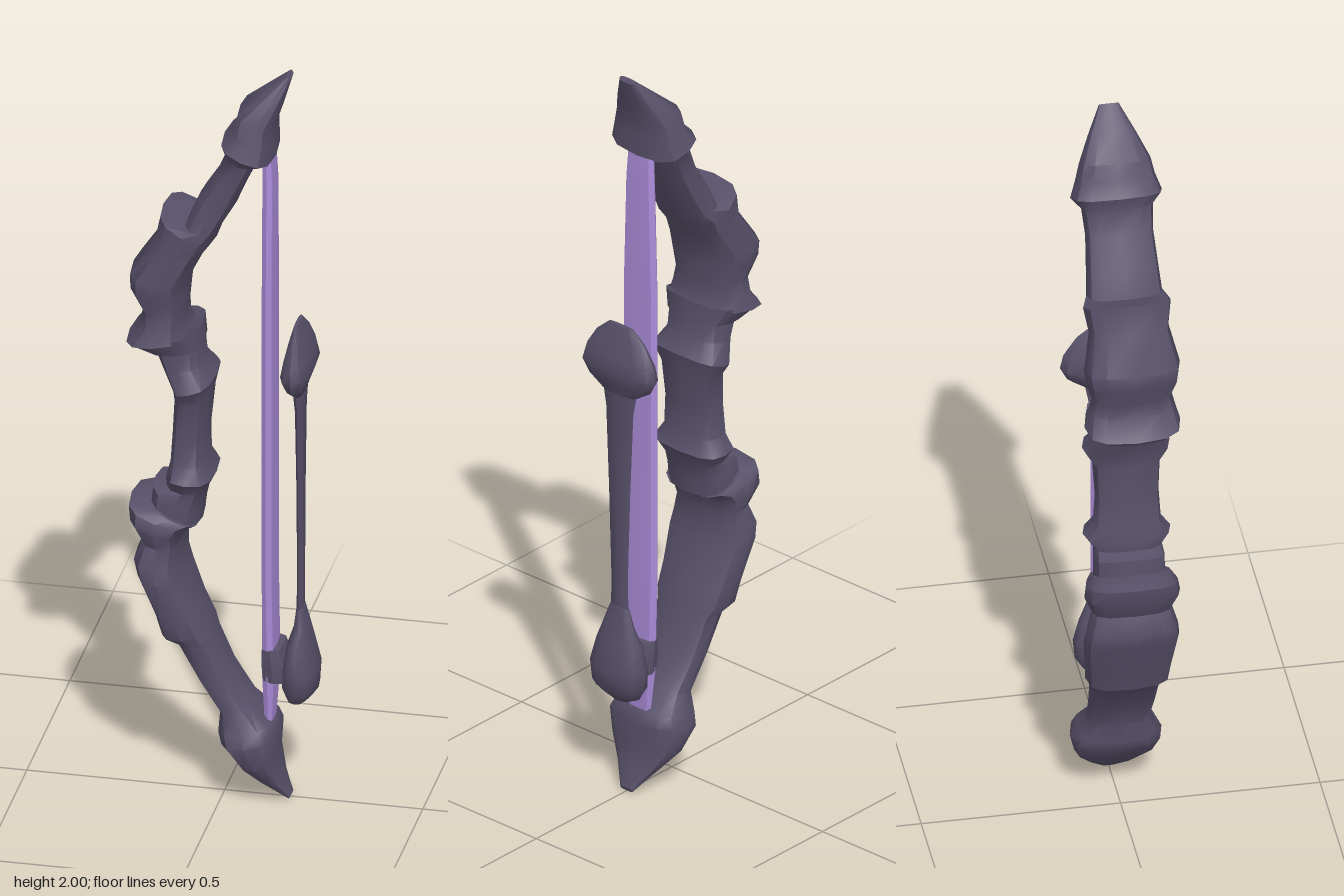
import * as THREE from 'three';
import { toCreasedNormals } from 'three/addons/utils/BufferGeometryUtils.js';

const stone = new THREE.MeshStandardMaterial({ color: 0x575069 });
stone.name = 'dark stone';
const violet = new THREE.MeshStandardMaterial({ color: 0xaa8bd8 });
violet.name = 'violet string';

// Lofts rounded-box sections, listed from top to bottom.
// Each row: left x, left y, right x, right y, half depth in z.
function loft(rows, sides, power, crease) {
  const pos = [], index = [];
  const soft = (v) => Math.sign(v) * Math.pow(Math.abs(v), power);
  rows.forEach(([xl, yl, xr, yr, hz]) => {
    for (let j = 0; j < sides; j++) {
      const a = (j / sides) * Math.PI * 2;
      const u = soft(Math.cos(a)) / 2;
      pos.push((xl + xr) / 2 + u * (xr - xl), (yl + yr) / 2 + u * (yr - yl), hz * soft(Math.sin(a)));
    }
  });
  for (let i = 0; i < rows.length - 1; i++) {
    for (let j = 0; j < sides; j++) {
      const k = (j + 1) % sides;
      const a = i * sides + j, b = i * sides + k;
      index.push(a, b, b + sides, a, b + sides, a + sides);
    }
  }
  const last = (rows.length - 1) * sides;
  for (let j = 1; j < sides - 1; j++) {
    index.push(0, j + 1, j, last, last + j, last + j + 1);
  }
  const g = new THREE.BufferGeometry();
  g.setAttribute('position', new THREE.Float32BufferAttribute(pos, 3));
  g.setIndex(index);
  return toCreasedNormals(g, crease);
}

function part(name, rows, material, sides = 12, power = 0.7, crease = 0.7) {
  const mesh = new THREE.Mesh(loft(rows, sides, power, crease), material);
  mesh.name = name;
  return mesh;
}

// Upper limb, from the tip down to its lowest barb
const upperLimb = [
  [0.16, 2.0, 0.17, 1.99, 0.025],
  [0.10, 1.95, 0.15, 1.92, 0.06],
  [0.04, 1.90, 0.13, 1.86, 0.09],
  [0.03, 1.85, 0.13, 1.82, 0.10],
  [0.0, 1.82, 0.13, 1.77, 0.115],
  [0.01, 1.78, 0.09, 1.76, 0.09],
  [-0.015, 1.72, 0.06, 1.70, 0.085],
  [-0.06, 1.65, 0.03, 1.63, 0.09],
  [-0.09, 1.58, -0.005, 1.57, 0.095],
  [-0.155, 1.605, -0.02, 1.53, 0.11],
  [-0.17, 1.53, -0.05, 1.49, 0.10],
  [-0.23, 1.44, -0.085, 1.42, 0.12],
  [-0.23, 1.40, -0.09, 1.38, 0.115],
  [-0.20, 1.34, -0.095, 1.33, 0.10],
  [-0.20, 1.30, -0.095, 1.29, 0.11],
  [-0.24, 1.25, -0.085, 1.27, 0.12],
  [-0.235, 1.24, -0.055, 1.29, 0.11],
  [-0.18, 1.22, -0.05, 1.24, 0.09],
];

// Grip with a flared collar at each end
const grip = [
  [-0.17, 1.23, -0.055, 1.25, 0.085],
  [-0.15, 1.18, -0.05, 1.19, 0.085],
  [-0.12, 1.12, -0.02, 1.15, 0.11],
  [-0.12, 1.09, -0.03, 1.10, 0.085],
  [-0.125, 1.0, -0.04, 1.0, 0.08],
  [-0.13, 0.92, -0.04, 0.92, 0.085],
  [-0.14, 0.885, -0.02, 0.88, 0.11],
  [-0.14, 0.855, -0.04, 0.84, 0.085],
  [-0.175, 0.85, -0.05, 0.79, 0.09],
  [-0.18, 0.80, -0.055, 0.75, 0.09],
];

// Lower limb, from its barb down to the tip
const lowerLimb = [
  [-0.18, 0.81, -0.055, 0.75, 0.10],
  [-0.235, 0.80, -0.07, 0.745, 0.115],
  [-0.23, 0.76, -0.09, 0.73, 0.12],
  [-0.20, 0.70, -0.10, 0.69, 0.10],
  [-0.22, 0.65, -0.10, 0.64, 0.115],
  [-0.21, 0.61, -0.09, 0.60, 0.12],
  [-0.165, 0.50, -0.06, 0.52, 0.11],
  [-0.15, 0.445, -0.03, 0.46, 0.105],
  [-0.115, 0.43, -0.02, 0.43, 0.09],
  [-0.06, 0.33, 0.02, 0.34, 0.085],
  [-0.005, 0.24, 0.075, 0.26, 0.08],
  [-0.01, 0.19, 0.13, 0.215, 0.10],
  [0.0, 0.16, 0.14, 0.185, 0.115],
  [0.05, 0.10, 0.135, 0.12, 0.10],
  [0.095, 0.055, 0.15, 0.06, 0.06],
  [0.165, 0.0, 0.17, 0.01, 0.02],
];

// Flat band string
const string = [
  [0.10, 1.79, 0.125, 1.79, 0.04],
  [0.10, 1.70, 0.13, 1.70, 0.045],
  [0.10, 1.40, 0.13, 1.40, 0.055],
  [0.10, 0.60, 0.13, 0.60, 0.055],
  [0.10, 0.34, 0.135, 0.34, 0.05],
  [0.105, 0.19, 0.125, 0.19, 0.03],
];

// Dark binding around the string beside the bulb
const binding = [
  [0.098, 0.42, 0.15, 0.42, 0.055],
  [0.096, 0.38, 0.165, 0.38, 0.058],
  [0.10, 0.335, 0.165, 0.33, 0.054],
];

// Arrow head, shaft and bulb
const arrowHead = [
  [0.18, 1.315, 0.19, 1.315, 0.04],
  [0.17, 1.28, 0.205, 1.28, 0.08],
  [0.158, 1.23, 0.22, 1.235, 0.11],
  [0.15, 1.19, 0.23, 1.20, 0.118],
  [0.165, 1.16, 0.215, 1.16, 0.10],
  [0.178, 1.13, 0.205, 1.13, 0.055],
];
const arrowShaft = [
  [0.176, 1.16, 0.206, 1.16, 0.06],
  [0.182, 1.08, 0.202, 1.08, 0.045],
  [0.185, 0.85, 0.20, 0.85, 0.035],
  [0.185, 0.60, 0.20, 0.60, 0.027],
  [0.183, 0.50, 0.20, 0.50, 0.03],
];
const arrowBulb = [
  [0.183, 0.53, 0.202, 0.53, 0.03],
  [0.177, 0.48, 0.215, 0.475, 0.05],
  [0.16, 0.43, 0.225, 0.43, 0.07],
  [0.15, 0.37, 0.24, 0.365, 0.085],
  [0.148, 0.32, 0.237, 0.31, 0.08],
  [0.16, 0.285, 0.215, 0.285, 0.06],
  [0.18, 0.262, 0.20, 0.268, 0.02],
];

export function createModel() {
  const model = new THREE.Group();
  model.name = 'bow';
  model.add(
    part('upperLimb', upperLimb, stone),
    part('grip', grip, stone),
    part('lowerLimb', lowerLimb, stone),
    part('string', string, violet, 8, 0.6),
    part('stringBinding', binding, stone, 8, 0.6)
  );

  const arrow = new THREE.Group();
  arrow.name = 'arrow';
  arrow.add(
    part('arrowHead', arrowHead, stone, 12, 0.8),
    part('arrowShaft', arrowShaft, stone, 8, 0.8),
    part('arrowBulb', arrowBulb, stone, 12, 0.9, 1.0)
  );
  model.add(arrow);
  return model;
}
